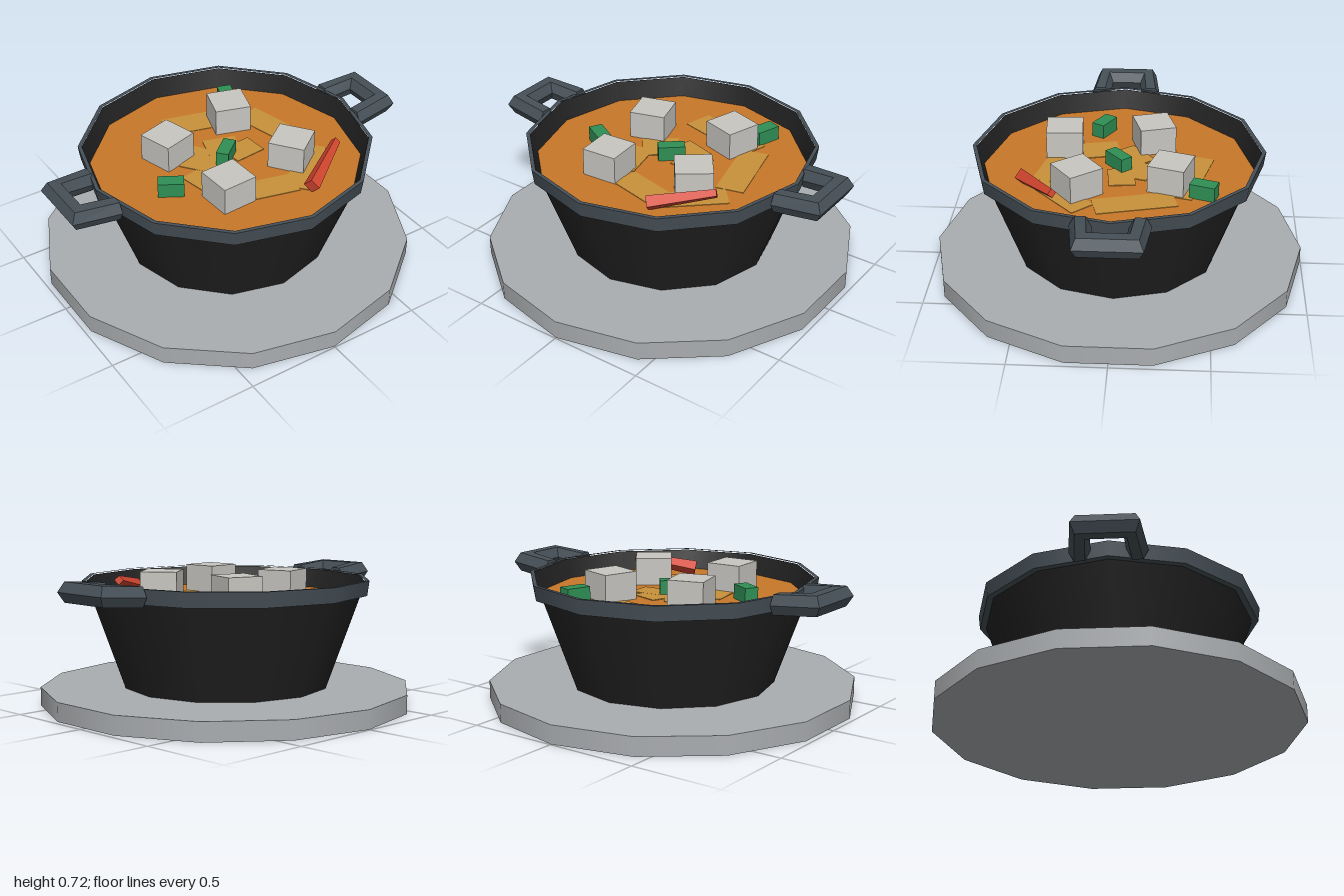
import * as THREE from 'three';

const mat = (name, color, side = THREE.FrontSide) => {
  const m = new THREE.MeshStandardMaterial({ color, side });
  m.name = name;
  return m;
};

export function createModel() {
  const stone = mat('stone grey', 0xaaadb0);
  const iron = mat('cast iron black', 0x222222, THREE.DoubleSide);
  const slate = mat('slate grey', 0x465057);
  const broth = mat('orange broth', 0xc8782a);
  const noodle = mat('pale noodle', 0xc8913a);
  const tofu = mat('off white', 0xc8c6c1);
  const herb = mat('leaf green', 0x2f8f55);
  const chili = mat('chili red', 0xd2452f);

  const model = new THREE.Group();
  const add = (name, geo, material, parent = model) => {
    const mesh = new THREE.Mesh(geo, material);
    mesh.name = name;
    parent.add(mesh);
    return mesh;
  };
  const flat = (geo) => {
    const g = geo.index ? geo.toNonIndexed() : geo;
    g.computeVertexNormals();
    return g;
  };

  // Round trivet under the pot
  add('trivet', new THREE.CylinderGeometry(0.995, 0.995, 0.1, 14), stone).position.y = 0.05;

  // Thin flared pot wall and its floor
  add('potWall', new THREE.CylinderGeometry(0.755, 0.55, 0.575, 12, 1, true), iron).position.y = 0.3875;
  const floor = add('potFloor', new THREE.CircleGeometry(0.55, 12), iron);
  floor.rotation.set(-Math.PI / 2, 0, 0);
  floor.position.y = 0.105;

  // Rim band: outer wall, top lip and underside
  const rimProfile = [[0.73, 0.6], [0.764, 0.6], [0.764, 0.6], [0.775, 0.68], [0.775, 0.68], [0.754, 0.68]];
  for (let i = 0; i < 6; i += 2) {
    const pts = rimProfile.slice(i, i + 2).map(([x, y]) => new THREE.Vector2(x, y));
    add('rim', new THREE.LatheGeometry(pts, 12), slate);
  }

  // Broth surface
  add('broth', new THREE.CylinderGeometry(0.718, 0.7, 0.03, 12), broth).position.y = 0.557;

  // Handles: a hexagonal bar swept through two arms and a crossbar
  // Each station: x, y, z, then the half-width offset in x and z
  const stations = [
    [0.735, 0.642, 0.145, 0, 0.055], [0.94, 0.66, 0.125, 0.055, 0.045],
    [0.94, 0.66, -0.125, 0.055, -0.045], [0.735, 0.642, -0.145, 0, -0.055],
  ];
  const handleGeometry = () => {
    const rings = stations.map(([x, y, z, sx, sz]) => Array.from({ length: 6 }, (_, k) => {
      const a = (k * Math.PI) / 3, c = Math.cos(a), s = Math.sin(a);
      return [x + sx * c, y + s * 0.06, z + sz * c];
    }));
    const p = [];
    const tri = (a, b, c) => p.push(...a, ...b, ...c);
    for (let i = 0; i < 3; i++) {
      for (let k = 0; k < 6; k++) {
        const n = (k + 1) % 6;
        const a = rings[i][k], b = rings[i][n], c = rings[i + 1][n], d = rings[i + 1][k];
        tri(a, d, c);
        tri(a, c, b);
      }
    }
    for (let k = 1; k < 5; k++) {
      tri(rings[0][0], rings[0][k], rings[0][k + 1]);
      tri(rings[3][0], rings[3][k + 1], rings[3][k]);
    }
    const g = new THREE.BufferGeometry();
    g.setAttribute('position', new THREE.Float32BufferAttribute(p, 3));
    return flat(g);
  };
  add('leftHandle', handleGeometry(), slate);
  add('rightHandle', handleGeometry(), slate).rotation.y = Math.PI;

  // Floating pieces: x, z, turn, length, width
  const scatter = (name, list, material, y, height) => list.forEach(([x, z, turn, l, w], i) => {
    const piece = add(name, new THREE.BoxGeometry(l, height, w), material);
    piece.position.set(x, y + i * 0.0003, z);
    piece.rotation.y = turn;
  });
  scatter('tofuCube', [
    [-0.25, -0.18, 0.28, 0.195, 0.195], [0.2, -0.28, -0.3, 0.195, 0.195],
    [0.28, 0.2, 0.64, 0.195, 0.195], [-0.18, 0.3, 0.06, 0.195, 0.195],
  ], tofu, 0.62, 0.2);
  scatter('scallionPiece', [
    [0.3, -0.45, 1.25, 0.135, 0.078], [-0.4, 0.1, -0.53, 0.135, 0.075], [0, 0, 0.7, 0.142, 0.068],
  ], herb, 0.6, 0.1);
  scatter('noodleStrip', [
    [0.1, -0.37, -0.26, 0.46, 0.16], [0.385, -0.1, -1.33, 0.42, 0.15], [0.31, 0.29, 0.73, 0.4, 0.14],
    [0.05, 0.34, -0.24, 0.27, 0.15], [-0.18, 0.13, 0.2, 0.17, 0.25], [-0.11, -0.06, 0.66, 0.2, 0.18],
    [0.04, -0.09, -0.3, 0.18, 0.18], [0.12, -0.02, 0.1, 0.18, 0.14],
  ], noodle, 0.5725, 0.004);

  // Tapered chili, raised at its narrow end
  const from = new THREE.Vector3(0.2, 0.61, 0.49), to = new THREE.Vector3(0.49, 0.675, 0.305);
  const chiliGeo = new THREE.CylinderGeometry(0.025, 0.043, from.distanceTo(to), 4).rotateX(Math.PI / 2);
  const pepper = add('chili', flat(chiliGeo), chili);
  pepper.position.copy(from).lerp(to, 0.5);
  pepper.lookAt(to);

  return model;
}
